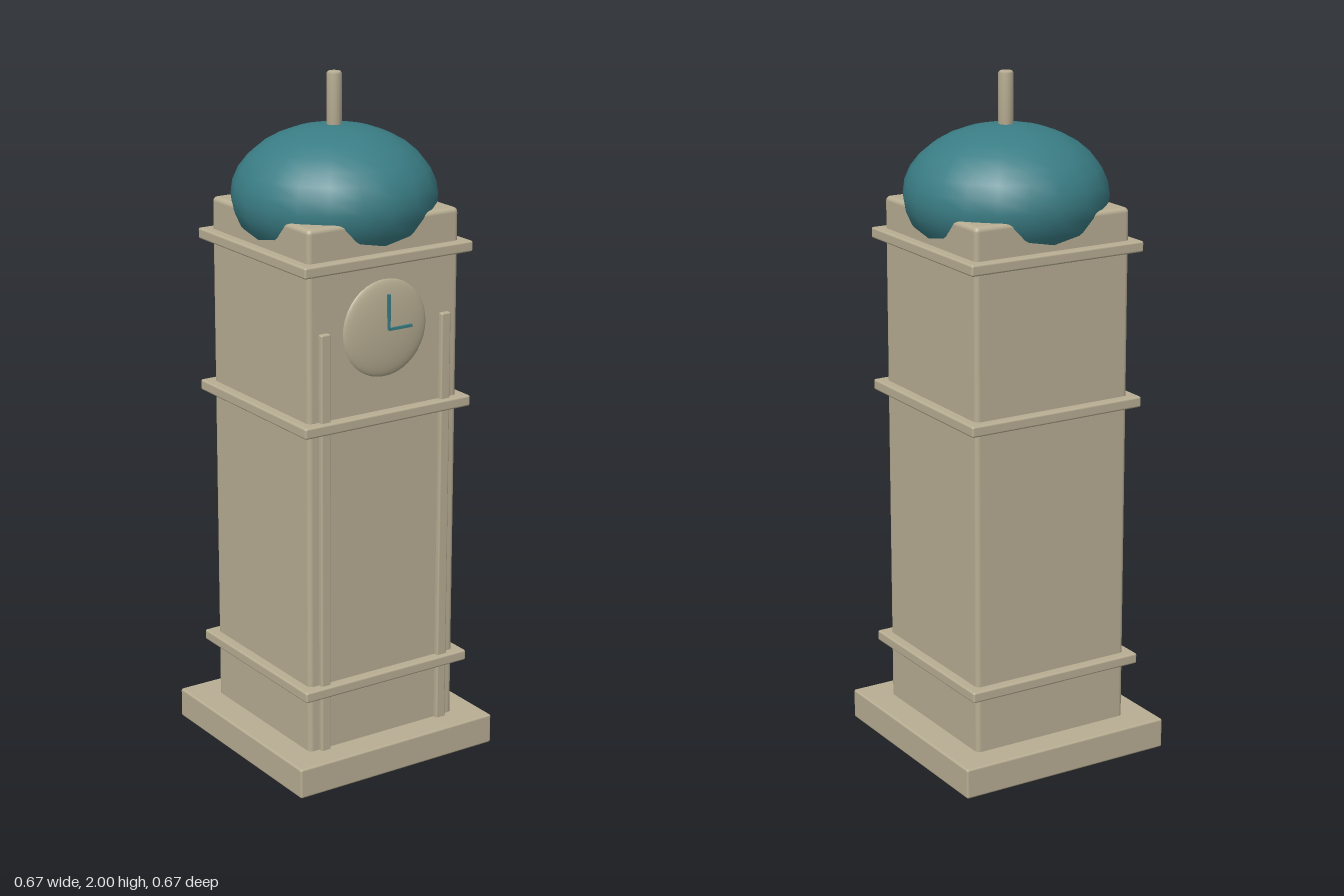
import * as THREE from 'three';
import { RoundedBoxGeometry } from 'three/addons/geometries/RoundedBoxGeometry.js';

export function createModel() {
  const tower = new THREE.Group();
  tower.name = 'clockTower';

  const stone = new THREE.MeshStandardMaterial({ color: 0xb8ae93 });
  stone.name = 'stone';
  const teal = new THREE.MeshStandardMaterial({ color: 0x3a7d85 });
  teal.name = 'teal';

  const add = (name, geometry, material, x, y, z) => {
    const mesh = new THREE.Mesh(geometry, material);
    mesh.name = name;
    mesh.position.set(x, y, z);
    tower.add(mesh);
    return mesh;
  };
  // Softly bevelled block standing between two heights
  const block = (name, width, bottom, top, depth, bevel, x = 0, z = 0) =>
    add(name, new RoundedBoxGeometry(width, top - bottom, depth, 2, bevel), stone, x, (bottom + top) / 2, z);

  // Plinth and shaft
  block('plinth', 0.674, 0, 0.09, 0.674, 0.006);
  block('shaft', 0.504, 0.07, 1.63, 0.504, 0.014);

  // Horizontal string courses
  for (const y of [0.276, 1.066, 1.52]) block('band', 0.562, y - 0.016, y + 0.016, 0.562, 0.006);

  // Slim pilasters on the front face
  for (const side of [-1, 1]) block('pilaster', 0.032, 0.08, 1.335, 0.032, 0.005, side * 0.203, 0.25);

  // Shallow domed clock face with two hands
  const face = add('clockFace', new THREE.SphereGeometry(0.141, 32, 20), stone, 0, 1.32, 0.25);
  face.scale.z = 0.15;
  add('minuteHand', new THREE.BoxGeometry(0.008, 0.1, 0.008), teal, 0, 1.37, 0.272);
  add('hourHand', new THREE.BoxGeometry(0.078, 0.008, 0.008), teal, 0.039, 1.32, 0.272);

  // Flattened dome and finial
  const dome = add('dome', new THREE.SphereGeometry(0.293, 20, 16), teal, 0, 1.653, 0);
  dome.scale.y = 0.2 / 0.293;
  const finial = [[0, 1.82], [0.022, 1.82], [0.022, 1.994], [0.017, 2], [0, 2]];
  add('finial', new THREE.LatheGeometry(finial.map(([r, y]) => new THREE.Vector2(r, y)), 16), stone, 0, 0, 0);

  return tower;
}
